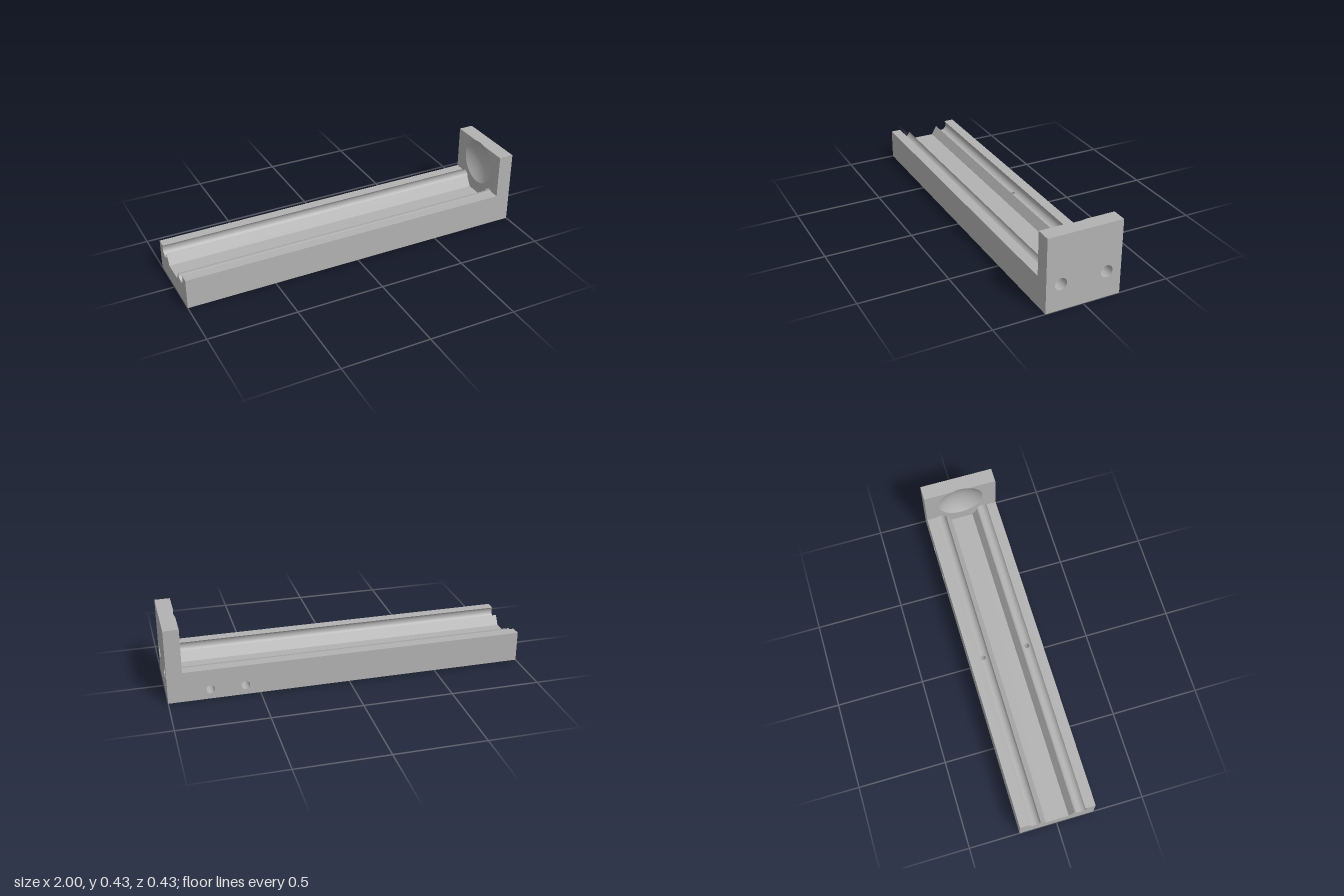
import * as THREE from 'three';

// main dimensions
const W = 0.213, RAIL_H = 0.173, PLATE_H = 0.425, PX = 0.915;
const GZ = 0.13, GY = 0.15, GR = 0.034;        // round grooves
const FZ = 0.065, FY = 0.098;                  // sunken middle floor
const DRAIN_R = 0.014;                         // small vertical holes
const DISH_Y = 0.3, DISH_R = 0.133, DISH_D = 0.045;
const LIP = Math.asin((RAIL_H - GY) / GR);     // angle where groove meets rail top

const V = (a, b) => new THREE.Vector2(a, b);
const arc = (cx, cy, r, a0, a1, n = 32) => Array.from({ length: n + 1 }, (_, i) => {
  const a = a0 + (a1 - a0) * i / n;
  return V(cx + r * Math.cos(a), cy + r * Math.sin(a));
});
const circle = (x, y, r) => new THREE.Path().absarc(x, y, r, 0, Math.PI * 2);

// spherical hollow depth at a distance from its centre
function dishDepth(rho) {
  const R = (DISH_R ** 2 + DISH_D ** 2) / (2 * DISH_D);
  return Math.max(0, Math.sqrt(R * R - rho * rho) - (R - DISH_D));
}

// rail section in (z, y), front to back; upper = follow the top of the groove circles
function section(upper) {
  const half = [V(W, RAIL_H), ...arc(GZ, GY, GR, LIP, upper ? Math.PI : -Math.PI, 40), V(FZ, FY)];
  return [...half, ...half.map(p => V(-p.x, p.y)).reverse()];
}

export function createModel() {
  const group = new THREE.Group();
  const grey = new THREE.MeshStandardMaterial({ color: 0xb2b2b2, side: THREE.DoubleSide });
  grey.name = 'machined grey';

  const add = (name, geo) => {
    const mesh = new THREE.Mesh(geo, grey);
    mesh.name = name;
    group.add(mesh);
  };
  // flat face: 2D outline placed in space by a rule
  const face = (name, pts, place, holes = []) => {
    const shape = new THREE.Shape(pts);
    shape.holes.push(...holes);
    const geo = new THREE.ShapeGeometry(shape, 32);
    const p = geo.attributes.position;
    for (let i = 0; i < p.count; i++) p.setXYZ(i, ...place(p.getX(i), p.getY(i)));
    geo.computeVertexNormals();
    add(name, geo);
  };
  // curved sheet: grid with u, v in 0..1 placed by a rule
  const sheet = (name, nu, nv, place) => {
    const geo = new THREE.PlaneGeometry(1, 1, nu, nv);
    const p = geo.attributes.position;
    for (let i = 0; i < p.count; i++) p.setXYZ(i, ...place(p.getX(i) + 0.5, p.getY(i) + 0.5));
    geo.computeVertexNormals();
    add(name, geo);
  };
  const rect = (a0, b0, a1, b1) => [V(a0, b0), V(a1, b0), V(a1, b1), V(a0, b1)];

  // underside and long sides
  face('underside', rect(-1, -W, 1, W), (a, b) => [a, 0, b],
    [circle(0, GZ, DRAIN_R), circle(0, -GZ, DRAIN_R)]);
  const side = [V(-1, 0), V(1, 0), V(1, PLATE_H), V(PX, PLATE_H), V(PX, RAIL_H), V(-1, RAIL_H)];
  const boltX = [0.58, 0.77], boltY = 0.055, boltR = 0.024, boltDepth = 0.25;
  face('frontSide', side, (a, b) => [a, b, W]);
  face('backSide', side, (a, b) => [a, b, -W], boltX.map(x => circle(x, boltY, boltR)));

  // blind bolt holes in the back
  for (const x of boltX) {
    sheet('boltHoleWall', 32, 1, (u, v) => [x + boltR * Math.cos(u * Math.PI * 2),
      boltY + boltR * Math.sin(u * Math.PI * 2), -W + v * boltDepth]);
    face('boltHoleEnd', arc(x, boltY, boltR, 0, Math.PI * 2).slice(1), (a, b) => [a, b, -W + boltDepth]);
  }

  // open end of the rail
  face('railEnd', [...section(false), V(-W, 0), V(W, 0)], (z, y) => [-1, y, z]);

  // middle floor
  face('railFloor', rect(-1, -FZ, PX, FZ), (a, b) => [a, FY, b]);

  for (const s of [1, -1]) {
    // rail top and sloped floor edge
    face('railLip', rect(-1, GZ + GR * Math.cos(LIP), PX, W), (a, b) => [a, RAIL_H, s * b]);
    sheet('floorSlope', 1, 1, (u, v) => [-1 + (PX + 1) * u,
      FY + (GY - FY) * v, s * (FZ + (GZ - GR - FZ) * v)]);

    // groove halves, leaving the drain hole open between them
    const bottom = -Math.PI / 2, edge = Math.asin(DRAIN_R / GR);
    const bands = [[LIP, bottom + edge], [bottom + edge, bottom - edge], [bottom - edge, -Math.PI]];
    const angles = bands.flatMap(([a, b], k) => Array.from({ length: 16 }, (_, i) => {
      const t = k === 1 ? (1 - Math.cos(Math.PI * i / 16)) / 2 : i / 16;
      return a + (b - a) * t;
    })).concat(-Math.PI);
    for (const [x0, dir] of [[-1, -1], [PX, 1]]) {
      sheet('groove', 1, angles.length - 1, (u, v) => {
        const a = angles[Math.round(v * (angles.length - 1))];
        const z = GR * Math.cos(a);
        const gap = Math.sin(a) < 0 ? Math.sqrt(Math.max(0, DRAIN_R ** 2 - z * z)) : 0;
        return [x0 + (dir * gap - x0) * u, GY + GR * Math.sin(a), s * (GZ + z)];
      });
    }
    // drain hole wall, its top following the groove
    sheet('drainHole', 32, 1, (u, v) => {
      const z = DRAIN_R * Math.sin(u * Math.PI * 2);
      return [DRAIN_R * Math.cos(u * Math.PI * 2), v * (GY - Math.sqrt(GR * GR - z * z)), s * (GZ + z)];
    });
    // rod hole through the end plate
    sheet('rodHole', 48, 1, (u, v) => [PX + (1 - PX) * v,
      GY + GR * Math.sin(u * Math.PI * 2), s * (GZ + GR * Math.cos(u * Math.PI * 2))]);
  }

  // end plate: outer face, inner face around the hollow, top edge
  face('plateOuterFace', rect(-W, 0, W, PLATE_H), (z, y) => [1, y, z],
    [circle(GZ, GY, GR), circle(-GZ, GY, GR)]);
  const rise = PLATE_H - DISH_Y, cut = Math.asin(rise / DISH_R);
  const notch = Math.sqrt(DISH_R ** 2 - rise ** 2);
  face('plateInnerFace', [...section(true), V(-W, PLATE_H),
    ...arc(0, DISH_Y, DISH_R, Math.PI - cut, Math.PI * 2 + cut, 48), V(W, PLATE_H)],
    (z, y) => [PX, y, z]);
  const bite = Array.from({ length: 17 }, (_, i) => {
    const z = notch * (i / 8 - 1);
    return V(PX + dishDepth(Math.hypot(rise, z)), z);
  });
  face('plateTop', [V(PX, -W), ...bite, V(PX, W), V(1, W), V(1, -W)], (x, z) => [x, PLATE_H, z]);

  // shallow hollow, trimmed by the plate top
  sheet('plateHollow', 72, 12, (u, v) => {
    const a = u * Math.PI * 2, sn = Math.sin(a);
    const r = v * (sn > 0 ? Math.min(DISH_R, rise / sn) : DISH_R);
    return [PX + dishDepth(r), DISH_Y + r * sn, r * Math.cos(a)];
  });

  return group;
}
